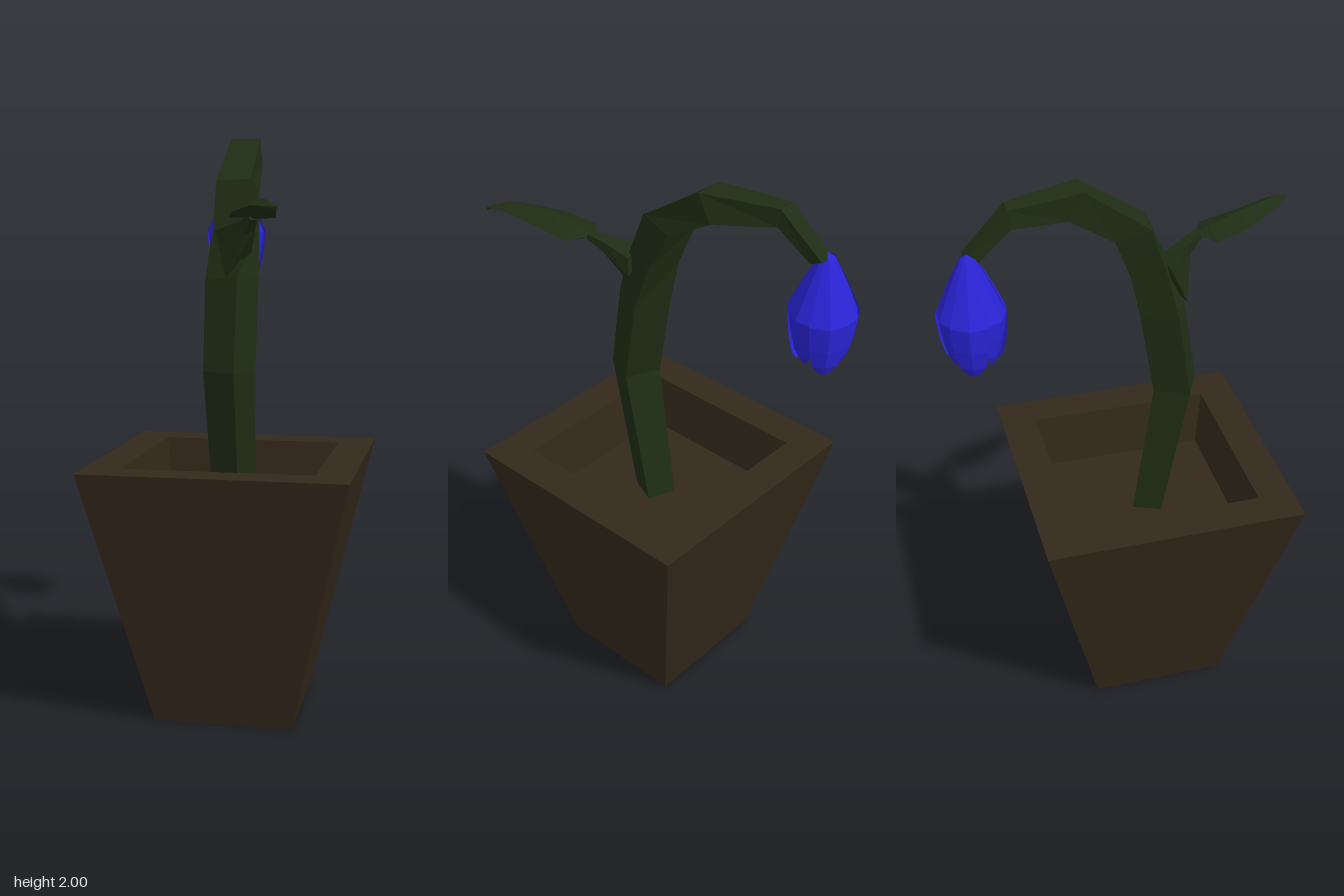
import * as THREE from 'three';

const material = (color, side = THREE.FrontSide) =>
  new THREE.MeshStandardMaterial({ color, flatShading: true, side });

const potMaterial = material(0x33281a);
const stemMaterial = material(0x1e2d14, THREE.DoubleSide);
const petalMaterial = material(0x2a24d8, THREE.DoubleSide);

const v = (x, y, z) => new THREE.Vector3(x, y, z);

// Skin a row of cross-sections; closed sections wrap round
function loft(rings, closed) {
  const n = rings[0].length;
  const index = [];
  for (let i = 0; i < rings.length - 1; i++) {
    for (let j = 0; j < (closed ? n : n - 1); j++) {
      const k = (j + 1) % n;
      const a = i * n + j, b = i * n + k;
      index.push(a, a + n, b, b, a + n, b + n);
    }
  }
  if (closed) {
    const last = (rings.length - 1) * n;
    for (let j = 1; j < n - 1; j++) {
      index.push(0, j, j + 1, last, last + j + 1, last + j);
    }
  }
  const geometry = new THREE.BufferGeometry().setFromPoints(rings.flat());
  geometry.setIndex(index);
  const flat = geometry.toNonIndexed();
  flat.computeVertexNormals();
  return flat;
}

function add(parent, name, geometry, mat) {
  const mesh = new THREE.Mesh(geometry, mat);
  mesh.name = name;
  parent.add(mesh);
  return mesh;
}

// Square section: twisted about its own axis, then leaned backwards
function stemSection([x, y, z, radius, twist, pitch]) {
  const p = THREE.MathUtils.degToRad(pitch);
  return [0, 1, 2, 3].map((i) => {
    const a = THREE.MathUtils.degToRad(45 + twist + i * 90);
    const front = radius * Math.sin(a);
    return v(x + radius * Math.cos(a), y + front * Math.sin(p), z + front * Math.cos(p));
  });
}

// One petal: a creased strip that bulges out and curls in to a rounded tip
function petalGeometry(scale, drop) {
  const rows = [
    [0.025, 1.86, 32],
    [0.07, 1.775, 32],
    [0.117, 1.67, 33],
    [0.108, 1.59, 32],
    [0.092, 1.525, 26],
    [0.074, 1.49, 12],
  ];
  return loft(rows.map(([r, y, half], i) => [-1, 0, 1].map((s) => {
    const a = THREE.MathUtils.degToRad(half * s);
    const radius = r * scale * (s ? 0.97 : 1);
    return v(radius * Math.sin(a), y - (i > 2 ? drop : 0), radius * Math.cos(a));
  })), false);
}

export function createModel() {
  const model = new THREE.Group();
  model.name = 'pottedFlower';

  // Square tapered pot with a sunken soil bed
  const profile = [[0, 0], [0.24, 0], [0.45, 0.9], [0.325, 0.9], [0.3, 0.7], [0, 0.7]]
    .map(([r, y]) => new THREE.Vector2(r * Math.SQRT2, y));
  const pot = add(model, 'pot', new THREE.LatheGeometry(profile, 4, Math.PI / 4), potMaterial);
  pot.position.z = 0.07;

  // Arching stem: x, y, z, radius, twist, pitch
  const stem = [
    [0, 0.68, 0.09, 0.073, 22, 0],
    [0, 1.21, 0.182, 0.09, 25, 0],
    [0, 1.52, 0.132, 0.092, 24, 0],
    [0.005, 1.68, 0.085, 0.084, 15, 5],
    [0, 1.835, 0.02, 0.086, 5, 16],
    [-0.003, 1.955, -0.165, 0.073, 0, 61],
    [-0.072, 1.965, -0.383, 0.045, 0, 96],
    [-0.09, 1.85, -0.51, 0.034, 0, 155],
  ].map(stemSection);
  add(model, 'stem', loft(stem, true), stemMaterial);

  // Leaf stalk narrowing out of the stem
  add(model, 'leafStalk', loft([
    [v(-0.055, 1.68, 0.15), v(0.07, 1.68, 0.145), v(0.07, 1.61, 0.14), v(-0.005, 1.53, 0.218)],
    [v(0.05, 1.715, 0.23), v(0.095, 1.715, 0.225), v(0.095, 1.68, 0.23), v(0.065, 1.67, 0.245)],
    [v(0.085, 1.735, 0.285), v(0.115, 1.735, 0.28), v(0.115, 1.715, 0.285), v(0.09, 1.715, 0.295)],
  ], true), stemMaterial);

  // Leaf blade: ridge point, then left and right reach and droop of the edges
  const leafRows = [
    [0.1, 1.73, 0.28, 0.015, 0.015, 0.005],
    [0.105, 1.748, 0.325, 0.078, 0.075, 0.025],
    [0.13, 1.774, 0.44, 0.075, 0.068, 0.035],
    [0.185, 1.78, 0.575, 0.045, 0.038, 0.02],
    [0.235, 1.757, 0.638, 0.012, 0.002, 0.002],
  ];
  const leafSection = ([x, y, z, inner, outer, droop]) => [
    v(x - inner, y - droop, z),
    v(x, y, z),
    v(x + outer, y - droop, z - outer * 0.15),
    v(x, y - 0.012, z),
  ];
  add(model, 'leaf', loft(leafRows.map(leafSection), true), stemMaterial);

  // Hanging bell of overlapping petals
  const flower = new THREE.Group();
  flower.name = 'flower';
  flower.position.set(-0.11, 0, -0.52);
  for (let i = 0; i < 6; i++) {
    const inner = i % 2;
    const petal = add(flower, 'petal', petalGeometry(inner ? 0.95 : 1, inner ? -0.015 : 0.008), petalMaterial);
    petal.rotation.y = (i * Math.PI) / 3 + 0.3;
  }
  const cap = add(flower, 'flowerTop', new THREE.ConeGeometry(0.026, 0.02, 6), petalMaterial);
  cap.position.y = 1.865;
  model.add(flower);

  return model;
}
